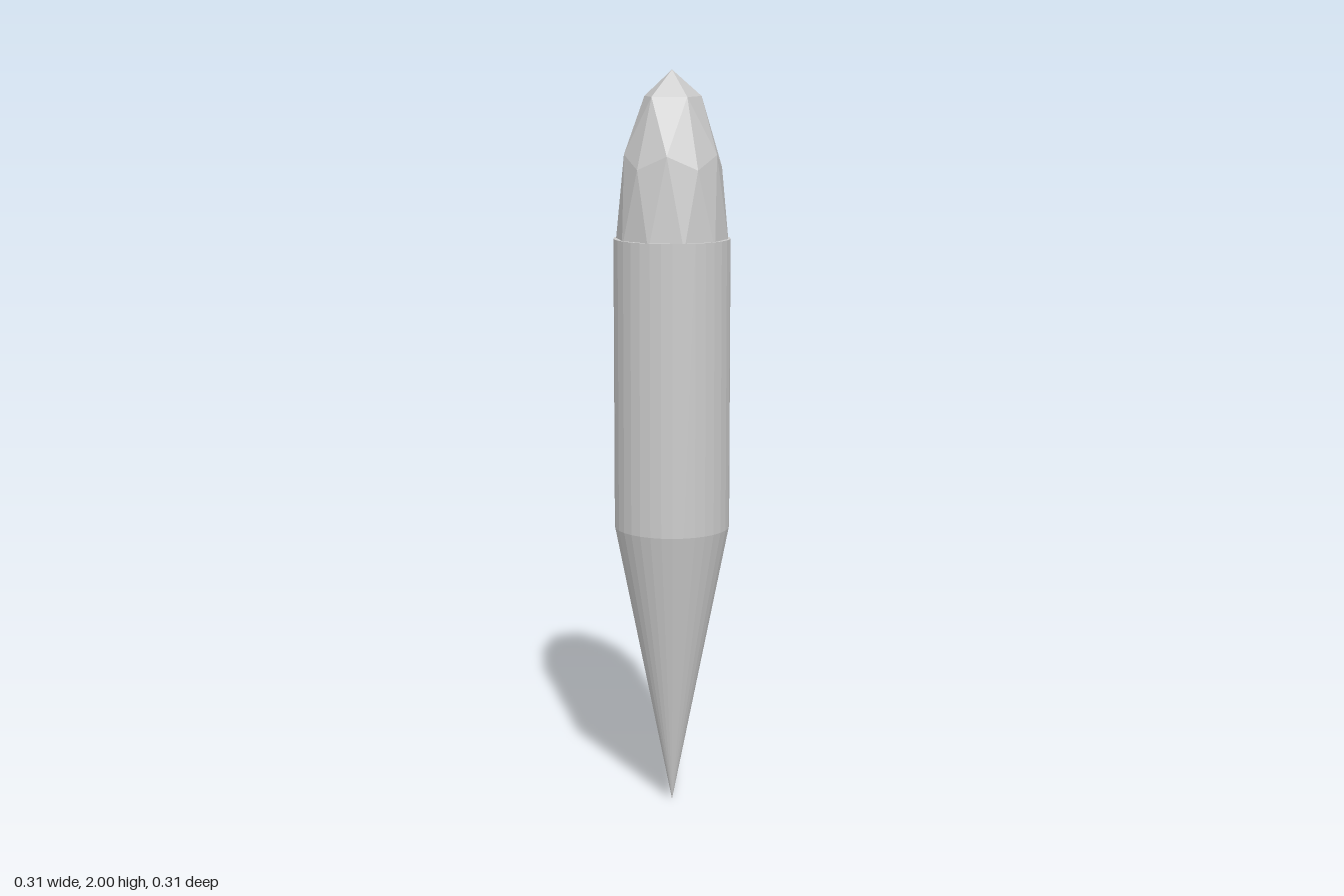
import * as THREE from 'three';

const SIDES = 32;
const RADIUS = 0.155;
const BODY_BOTTOM = 0.78;
const BODY_TOP = 1.56;

export function createModel() {
  const group = new THREE.Group();
  const material = new THREE.MeshStandardMaterial({ color: 0xcccccc, flatShading: true });

  const addPart = (name, geometry, y) => {
    const mesh = new THREE.Mesh(geometry, material);
    mesh.name = name;
    mesh.position.y = y;
    group.add(mesh);
  };

  // Straight capped barrel
  const bodyHeight = BODY_TOP - BODY_BOTTOM;
  addPart('body', new THREE.CylinderGeometry(RADIUS, RADIUS, bodyHeight, SIDES),
    BODY_BOTTOM + bodyHeight / 2);

  // Long cone pointing down
  const point = new THREE.ConeGeometry(RADIUS, BODY_BOTTOM, SIDES);
  point.rotateX(Math.PI);
  addPart('point', point, BODY_BOTTOM / 2);

  // Faceted tip: icosphere with one corner turned up, stretched along y
  const golden = (1 + Math.sqrt(5)) / 2;
  const tip = new THREE.IcosahedronGeometry(1, 1);
  tip.rotateZ(Math.atan(1 / golden));
  tip.rotateY(Math.PI);
  tip.scale(0.151, 0.46, 0.151);
  tip.computeVertexNormals();
  addPart('facetedTip', tip, 1.54);

  return group;
}
